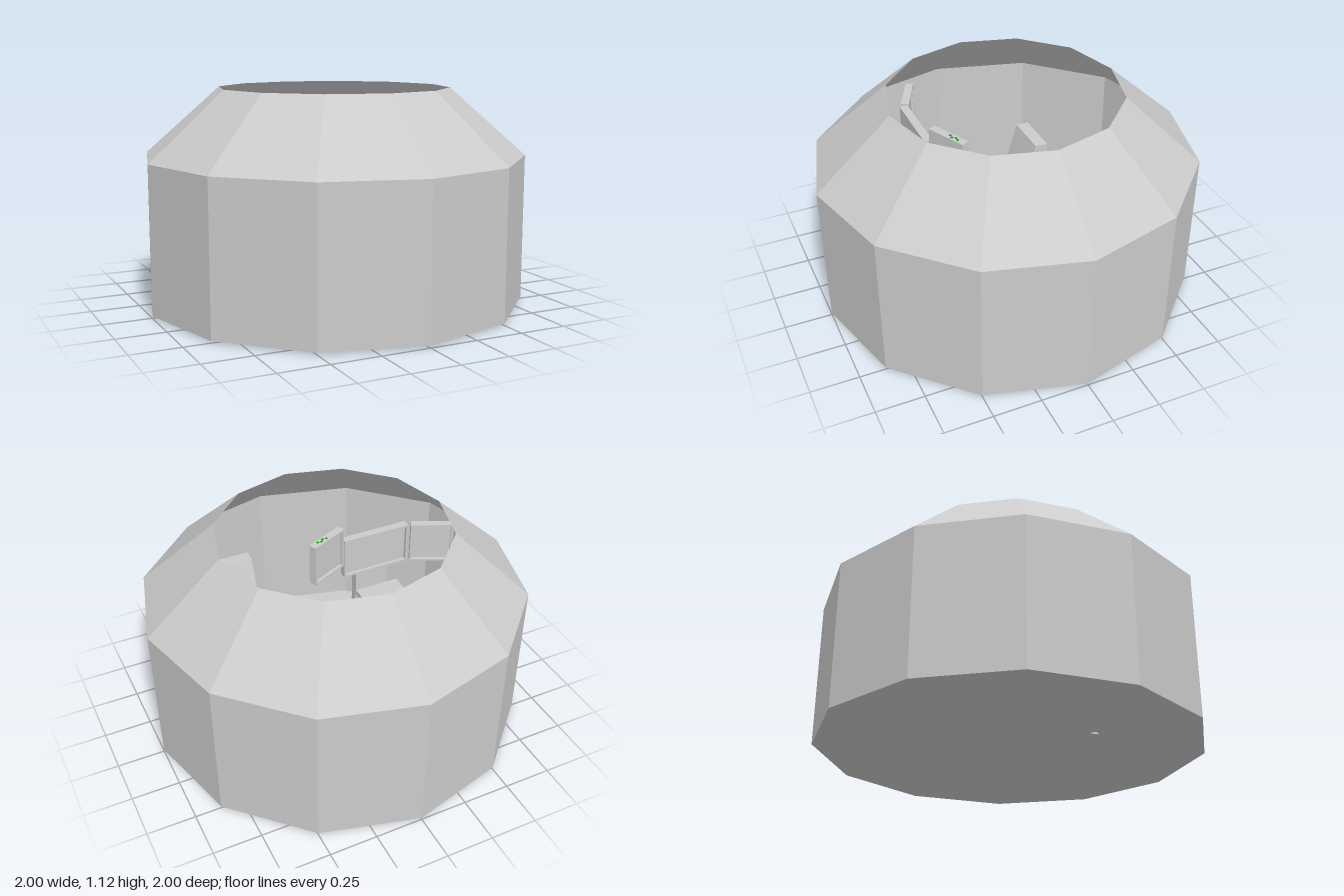
import * as THREE from 'three';

const grey = new THREE.MeshStandardMaterial({ color: 0xcccccc, flatShading: true });
const thin = new THREE.MeshStandardMaterial({ color: 0xcccccc, flatShading: true, side: THREE.DoubleSide });
const green = new THREE.MeshStandardMaterial({ color: 0x00aa00 });

function add(parent, name, geometry, x = 0, y = 0, z = 0, material = grey) {
  const mesh = new THREE.Mesh(geometry, material);
  mesh.name = name;
  mesh.position.set(x, y, z);
  parent.add(mesh);
  return mesh;
}

const box = (w, h, d) => new THREE.BoxGeometry(w, h, d);

// Solid seat: side profile in (z, y) extruded across x
function chair(name) {
  const profile = [[-0.39, 0.01], [0.11, 0.01], [0.03, 0.26], [-0.23, 0.26], [-0.32, 0.55], [-0.39, 0.55]];
  const shape = new THREE.Shape(profile.map(([z, y]) => new THREE.Vector2(-z, y)));
  const geometry = new THREE.ExtrudeGeometry(shape, { depth: 0.26, bevelEnabled: false });
  geometry.translate(0, 0, -0.13);
  geometry.rotateY(Math.PI / 2); // profile x becomes -z
  const mesh = new THREE.Mesh(geometry, grey);
  mesh.name = name;
  return mesh;
}

// Framed screen facing -z, with a recessed panel
function screen(name, w, h) {
  const group = new THREE.Group();
  group.name = name;
  const t = 0.045, b = 0.012;
  add(group, 'screenBack', box(w, h, t * 0.6), 0, 0, t * 0.2);
  for (const s of [-1, 1]) {
    add(group, 'frameRail', box(w, b, t), 0, s * (h - b) / 2, 0);
    add(group, 'frameSide', box(b, h, t), s * (w - b) / 2, 0, 0);
  }
  return group;
}

export function createModel() {
  const model = new THREE.Group();

  // Twelve-sided room shell: floor, wall and sloping roof with an open top
  const outline = [[0, 0.01], [1, 0.01], [1, 0.77], [0.605, 1.12]].map(([r, y]) => new THREE.Vector2(r, y));
  add(model, 'roomShell', new THREE.LatheGeometry(outline, 12), 0, 0, 0, thin);

  // Two matching chairs, facing opposite ways
  const mainChair = chair('mainChair');
  mainChair.position.x = -0.42;
  const guestChair = chair('guestChair');
  guestChair.position.set(0.31, 0, 0.4);
  guestChair.rotation.y = Math.PI;
  model.add(mainChair, guestChair);

  // Desk on a post that passes through the floor
  const desk = new THREE.Group();
  desk.name = 'desk';
  desk.position.x = -0.42;
  add(desk, 'deskPost', new THREE.CylinderGeometry(0.018, 0.018, 0.42, 8), 0, 0.21, 0.21);
  add(desk, 'deskTop', box(0.26, 0.03, 0.13), 0, 0.43, 0.245);
  add(desk, 'screenMount', box(0.2, 0.44, 0.05), 0, 0.45, 0.395);
  model.add(desk);

  // Centre screen
  const centre = screen('centreScreen', 0.4, 0.24);
  centre.position.set(-0.42, 0.67, 0.34);
  model.add(centre);

  // Angled side screens
  for (const s of [-1, 1]) {
    const side = screen(s > 0 ? 'leftScreen' : 'rightScreen', 0.24, 0.24);
    side.position.set(-0.42 + s * 0.328, s > 0 ? 0.76 : 0.67, 0.275);
    side.rotation.y = s * 0.44;
    model.add(side);
    // Small lit marks along the top rail
    if (s > 0) {
      for (let i = 0; i < 4; i++) {
        add(side, 'screenMark', box(0.014, 0.004, 0.01), 0.01 + i * 0.02, 0.121, i % 2 ? 0.006 : -0.004, green);
      }
    }
  }

  return model;
}
